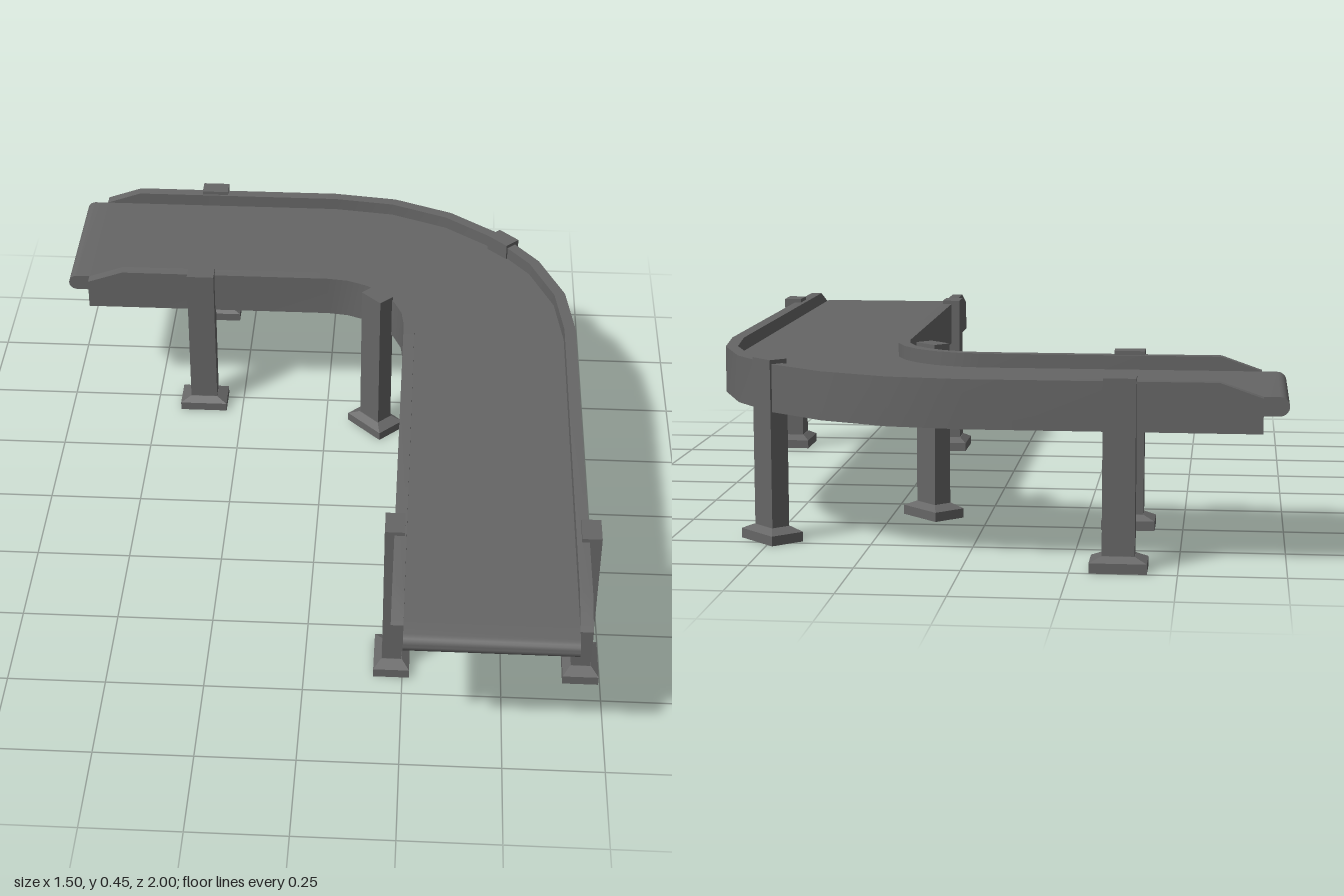
import * as THREE from 'three';
import { toCreasedNormals } from 'three/addons/utils/BufferGeometryUtils.js';

const BEND_Z = -0.26; // centre of the bend is (0, BEND_Z)
const STEPS = 6;

// Path parameter s: below 0 it runs along x, 0..1 round the bend, above 1 along z.
function at(r, s) {
  if (s <= 0) return [s, BEND_Z - r];
  if (s >= 1) return [r, BEND_Z + s - 1];
  const a = s * Math.PI / 2;
  return [r * Math.sin(a), BEND_Z - r * Math.cos(a)];
}

// Sweep a rectangular section; stations are [s, bottom, top].
function sweep(rIn, rOut, stations) {
  const rings = stations.map(([s, lo, hi]) => {
    const [ix, iz] = at(rIn, s), [ox, oz] = at(rOut, s);
    return [[ix, hi, iz], [ox, hi, oz], [ox, lo, oz], [ix, lo, iz]];
  });
  const pos = [];
  const quad = (a, b, c, d) => pos.push(...a, ...b, ...c, ...a, ...c, ...d);
  for (let k = 0; k + 1 < rings.length; k++) {
    const p = rings[k], q = rings[k + 1];
    for (let i = 0; i < 4; i++) {
      const j = (i + 1) % 4;
      quad(p[i], q[i], q[j], p[j]);
    }
  }
  const f = rings[0], l = rings[rings.length - 1];
  quad(f[0], f[1], f[2], f[3]);
  quad(l[3], l[2], l[1], l[0]);
  const g = new THREE.BufferGeometry();
  g.setAttribute('position', new THREE.Float32BufferAttribute(pos, 3));
  return toCreasedNormals(g, 0.6);
}

// Rectangle outline centred on the origin
const rect = (C, w, d) => new C([[-1, -1], [1, -1], [1, 1], [-1, 1]]
  .map(([x, y]) => new THREE.Vector2(x * w / 2, y * d / 2)));

export function createModel() {
  const model = new THREE.Group();
  model.name = 'curvedConveyor';
  const grey = new THREE.MeshStandardMaterial({ color: 0x666666 });
  grey.name = 'darkGrey';
  const add = (parent, geometry, name) => {
    const mesh = new THREE.Mesh(geometry, grey);
    mesh.name = name;
    parent.add(mesh);
    return mesh;
  };
  const bend = (lo, hi) => Array.from({ length: STEPS + 1 }, (_, i) => [i / STEPS, lo, hi]);

  // Belt: a thin sheet with a half-round roll at each end
  const mid = 0.3825, h = 0.0225, start = -0.75, end = 2.26;
  const top = mid + h, under = top - 0.008, roll = 0.065;
  const nose = [], tail = [];
  for (let i = 0; i <= 5; i++) {
    const a = Math.max(0.02, i / 5 * Math.PI / 2);
    const d = h * (1 - Math.cos(a)), y = h * Math.sin(a);
    nose.push([start + d, mid - y, mid + y]);
    tail.unshift([end - d, mid - y, mid + y]);
  }
  nose.push([start + roll, mid - h, top], [start + roll + 0.001, under, top]);
  tail.unshift([end - roll - 0.001, under, top], [end - roll, mid - h, top]);
  add(model, sweep(0.251, 0.664, [...nose, ...bend(under, top), ...tail]), 'belt');

  // Side rails with sloping ends
  const low = 0.323, high = 0.44;
  const rail = [[-0.69, low, 0.405], [-0.59, low, high], ...bend(low, high),
    [2.11, low, high], [2.21, low, 0.405]];
  add(model, sweep(0.221, 0.251, rail), 'innerRail');
  add(model, sweep(0.664, 0.695, rail), 'outerRail');

  // Legs: post on a hollow foot with a sloping top
  const footW = 0.134, footD = 0.091, footH = 0.024;
  const ring = rect(THREE.Shape, footW, footD);
  ring.holes.push(rect(THREE.Path, footW - 0.036, footD - 0.036));
  const rim = new THREE.ExtrudeGeometry(ring, { depth: footH, bevelEnabled: false });
  rim.rotateX(-Math.PI / 2);
  const slope = new THREE.CylinderGeometry(Math.SQRT1_2 * 0.58, Math.SQRT1_2, 1, 4);
  slope.rotateY(Math.PI / 4);
  slope.scale(footW, 0.013, footD);
  const slopeFlat = toCreasedNormals(slope, 0.05);
  const post = new THREE.BoxGeometry(0.076, 0.42, 0.049);
  function leg(x, z, angle, name) {
    const g = new THREE.Group();
    g.name = name;
    add(g, post, 'post').position.y = 0.24;
    add(g, rim, 'footRim');
    add(g, slopeFlat, 'footTop').position.y = footH + 0.0065;
    g.position.set(x, 0, z);
    g.rotation.y = -angle;
    model.add(g);
  }
  leg(-0.363, -0.477, 0, 'backInnerLeg');
  leg(-0.363, -0.954, 0, 'backOuterLeg');
  leg(0.144, -0.391, Math.PI / 4, 'bendInnerLeg');
  leg(0.5, -0.714, Math.PI / 4, 'bendOuterLeg');
  leg(0.222, 0.624, Math.PI / 2, 'frontInnerLeg');
  leg(0.701, 0.624, Math.PI / 2, 'frontOuterLeg');
  return model;
}
